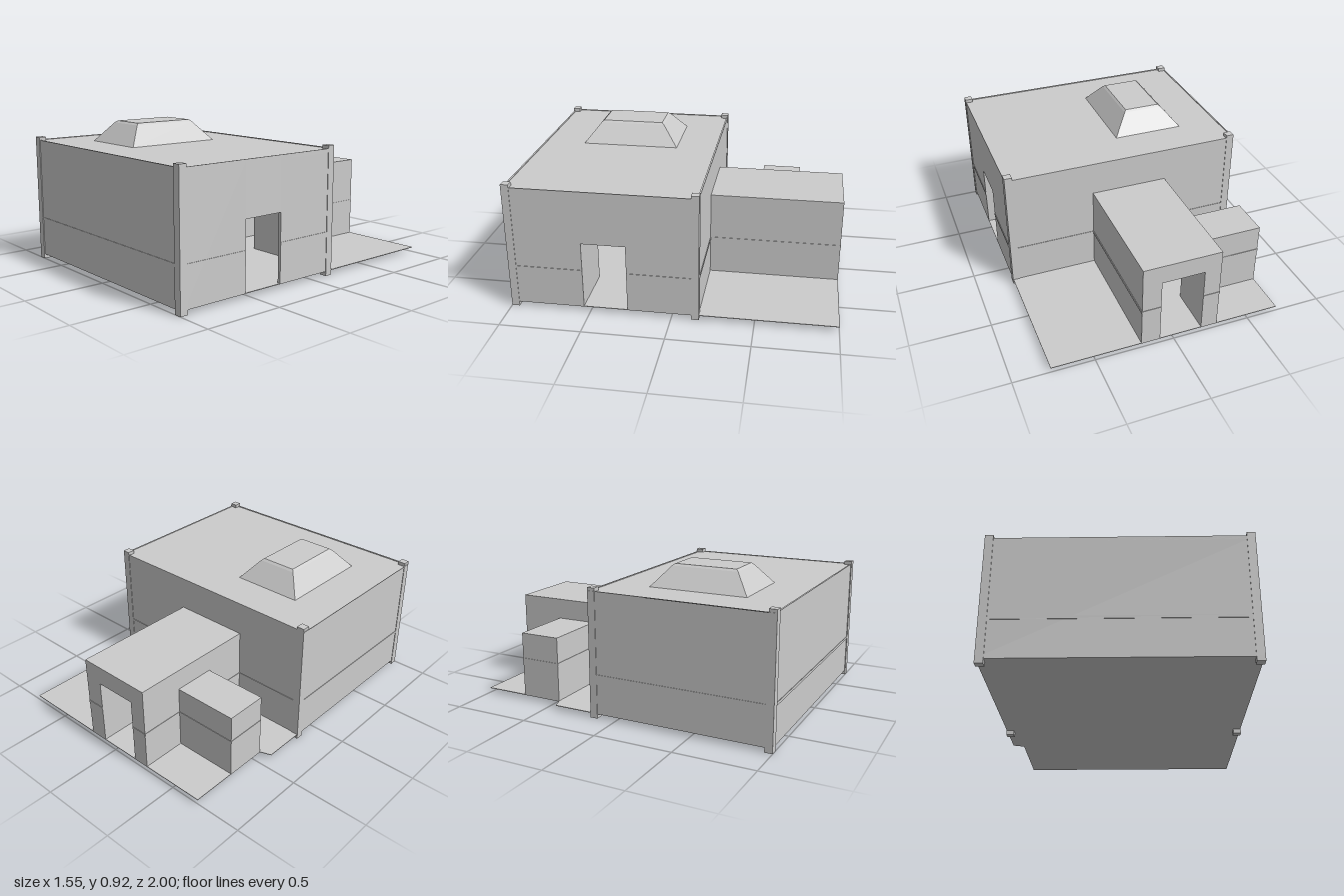
import * as THREE from 'three';

export function createModel() {
  const root = new THREE.Group();
  root.name = 'building';
  const mat = new THREE.MeshStandardMaterial({ color: 0xcccccc, flatShading: true });

  const add = (name, geometry, parent = root) => {
    const m = new THREE.Mesh(geometry, mat);
    m.name = name;
    parent.add(m);
    return m;
  };
  // Box given by its bounds
  const slab = (name, x0, x1, y0, y1, z0, z1, parent = root) =>
    add(name, new THREE.BoxGeometry(x1 - x0, y1 - y0, z1 - z0), parent)
      .position.set((x0 + x1) / 2, (y0 + y1) / 2, (z0 + z1) / 2);
  const group = (name) => {
    const g = new THREE.Group();
    g.name = name;
    root.add(g);
    return g;
  };

  const X = 0.77, Y0 = 0.03, Y1 = 0.787, ZB = -0.165, ZF = 0.995, T = 0.02, DOOR = 0.457;

  // Ground plate with the cut corner
  const plate = new THREE.Shape([[X, ZF], [-X, ZF], [-X, -0.425], [-0.7, -0.45], [-0.7, -1], [X, -1]]
    .map(([x, z]) => new THREE.Vector2(x, z)));
  const plateGeo = new THREE.ExtrudeGeometry(plate, { depth: 0.004, bevelEnabled: false });
  plateGeo.rotateX(Math.PI / 2);
  add('groundPlate', plateGeo).position.y = 0.032;

  // Main hall walls, with a side doorway and a rear doorway
  const hall = group('mainHall');
  slab('frontWall', -X, X, Y0, Y1, ZF - T, ZF, hall);
  slab('rightWall', -X, -X + T, Y0, Y1, ZB, ZF - T, hall);
  slab('doorWallFront', X - T, X, Y0, Y1, 0.54, ZF - T, hall);
  slab('doorWallBack', X - T, X, Y0, Y1, ZB, 0.27, hall);
  slab('doorLintel', X - T, X, DOOR, Y1, 0.27, 0.54, hall);
  slab('backWallRight', -X + T, -0.18, Y0, Y1, ZB, ZB + T, hall);
  slab('backWallLeft', 0.09, X - T, Y0, Y1, ZB, ZB + T, hall);
  slab('backLintel', -0.18, 0.09, DOOR, Y1, ZB, ZB + T, hall);
  slab('roof', -X, X, Y1 - T, Y1, ZB, ZF, hall);
  // Lobby behind the side door
  slab('lobbyCeiling', 0.4, X - T, DOOR, DOOR + T, 0.27, 0.54, hall);
  slab('lobbyWall', 0.4, X - T, Y0, DOOR, 0.54, 0.56, hall);

  // Low rim round the roof
  const rim = group('roofRim');
  for (const s of [-1, 1]) slab('sideRim', s * X - 0.006, s * X + 0.002 - (s > 0 ? 0.002 : 0), Y1, 0.791, ZB, ZF, rim);
  slab('frontRim', -X, X, Y1, 0.791, ZF - 0.01, ZF, rim);
  slab('backRim', -X, X, Y1, 0.791, ZB, ZB + 0.01, rim);

  // Corner posts with caps and feet
  for (const s of [-1, 1]) {
    for (const [z0, z1] of [[ZB - 0.003, ZB + 0.045], [0.952, 1]]) {
      const xs = [s * 0.724, s * 0.773].sort((a, b) => a - b);
      slab('cornerPost', xs[0], xs[1], 0.03, 0.79, z0, z1);
      slab('postCap', xs[0], xs[1], 0.79, 0.81, z0, z1);
      slab('postFoot', xs[0], xs[1], 0, 0.03, z0, z1);
    }
  }

  // Roof skylight: stacked rectangles with a small chamfer near the top
  const rings = [
    [-0.505, -0.05, 0.1, 0.725, 0.787],
    [-0.405, -0.147, 0.2, 0.627, 0.908],
    [-0.39, -0.16, 0.215, 0.612, 0.92],
  ];
  const pos = [], idx = [];
  for (const [x0, x1, z0, z1, y] of rings) pos.push(x0, y, z1, x1, y, z1, x1, y, z0, x0, y, z0);
  for (let r = 0; r < 2; r++) {
    for (let i = 0; i < 4; i++) {
      const a = r * 4 + i, b = r * 4 + (i + 1) % 4;
      idx.push(a, b, b + 4, a, b + 4, a + 4);
    }
  }
  idx.push(8, 9, 10, 8, 10, 11);
  let sky = new THREE.BufferGeometry();
  sky.setAttribute('position', new THREE.Float32BufferAttribute(pos, 3));
  sky.setIndex(idx);
  sky = sky.toNonIndexed();
  sky.computeVertexNormals();
  add('skylight', sky);

  // Rear porch: corridor with thick walls and a side passage
  const porch = group('rearPorch');
  slab('porchLeftWall', 0.09, 0.21, Y0, DOOR, -1, ZB, porch);
  slab('porchRightWallBack', -0.285, -0.18, Y0, DOOR, -1, -0.7, porch);
  slab('porchRightWallFront', -0.285, -0.18, Y0, DOOR, -0.465, ZB, porch);
  slab('passageLintel', -0.285, -0.18, 0.4, DOOR, -0.7, -0.465, porch);
  slab('porchRoof', -0.285, 0.21, DOOR, 0.577, -1, ZB, porch);

  // Small side store joined to the porch
  const store = group('sideStore');
  slab('storeBackWall', -0.7, -0.285, Y0, 0.44, -0.715, -0.7, store);
  slab('storeFrontWall', -0.7, -0.285, Y0, 0.44, -0.465, -0.45, store);
  slab('storeEndWall', -0.7, -0.685, Y0, 0.44, -0.7, -0.465, store);
  slab('storeRoof', -0.7, -0.285, 0.4, 0.445, -0.715, -0.45, store);

  // Thin double moulding along the outer walls
  const E = 0.003;
  const runs = [
    [-X, X, ZF, ZF + E], [-X - E, -X, ZB, ZF], [X, X + E, 0.54, ZF], [X, X + E, ZB, 0.27],
    [-X, -0.285, ZB - E, ZB], [0.21, X, ZB - E, ZB],
    [0.21, 0.21 + E, -1, ZB], [-0.285 - E, -0.285, -1, -0.715], [-0.285 - E, -0.285, -0.45, ZB],
    [0.09, 0.21, -1 - E, -1], [-0.285, -0.18, -1 - E, -1],
    [-0.7, -0.285, -0.715 - E, -0.715], [-0.7, -0.285, -0.45, -0.45 + E], [-0.7 - E, -0.7, -0.715, -0.45],
  ];
  const mouldings = group('wallMouldings');
  for (const [x0, x1, z0, z1] of runs) slab('moulding', x0, x1, 0.262, 0.28, z0, z1, mouldings);

  // Fireplace on the far wall, facing the doorway
  const fire = group('fireplace');
  const fx = -X + T;
  slab('hearthBack', fx, fx + 0.03, Y0, 0.2, 0.28, 0.53, fire);
  for (const z of [0.305, 0.505]) slab('pillar', fx, fx + 0.06, Y0, 0.2, z - 0.02, z + 0.02, fire);
  slab('mantelBase', fx, fx + 0.065, 0.2, 0.23, 0.27, 0.54, fire);
  slab('mantelShelf', fx, fx + 0.08, 0.262, 0.28, 0.26, 0.55, fire);
  slab('mantelFrieze', fx, fx + 0.055, 0.23, 0.262, 0.28, 0.53, fire);
  slab('fireScreen', fx + 0.03, fx + 0.04, 0.065, 0.165, 0.38, 0.475, fire);
  slab('fireScreenPanel', fx + 0.04, fx + 0.045, 0.077, 0.153, 0.392, 0.463, fire);

  // Mounted trophy above the mantel
  const shield = new THREE.Shape([[-0.055, 0.135], [0.055, 0.135], [0.055, 0.03], [0.025, 0], [-0.025, 0], [-0.055, 0.03]]
    .map(([a, b]) => new THREE.Vector2(a, b)));
  const shieldGeo = new THREE.ExtrudeGeometry(shield, { depth: 0.01, bevelEnabled: false });
  shieldGeo.rotateY(Math.PI / 2);
  add('trophyShield', shieldGeo, fire).position.set(fx, 0.32, 0.43);
  const head = add('trophyHead', new THREE.ConeGeometry(0.018, 0.06, 6), fire);
  head.rotation.z = Math.PI;
  head.position.set(fx + 0.02, 0.385, 0.43);
  for (const s of [-1, 1]) {
    const horn = new THREE.CatmullRomCurve3([[0.41, 0.008], [0.43, 0.03], [0.445, 0.022]]
      .map(([y, z]) => new THREE.Vector3(fx + 0.02, y, 0.43 + s * z)));
    add('trophyHorn', new THREE.TubeGeometry(horn, 6, 0.004, 5), fire);
  }

  return root;
}
